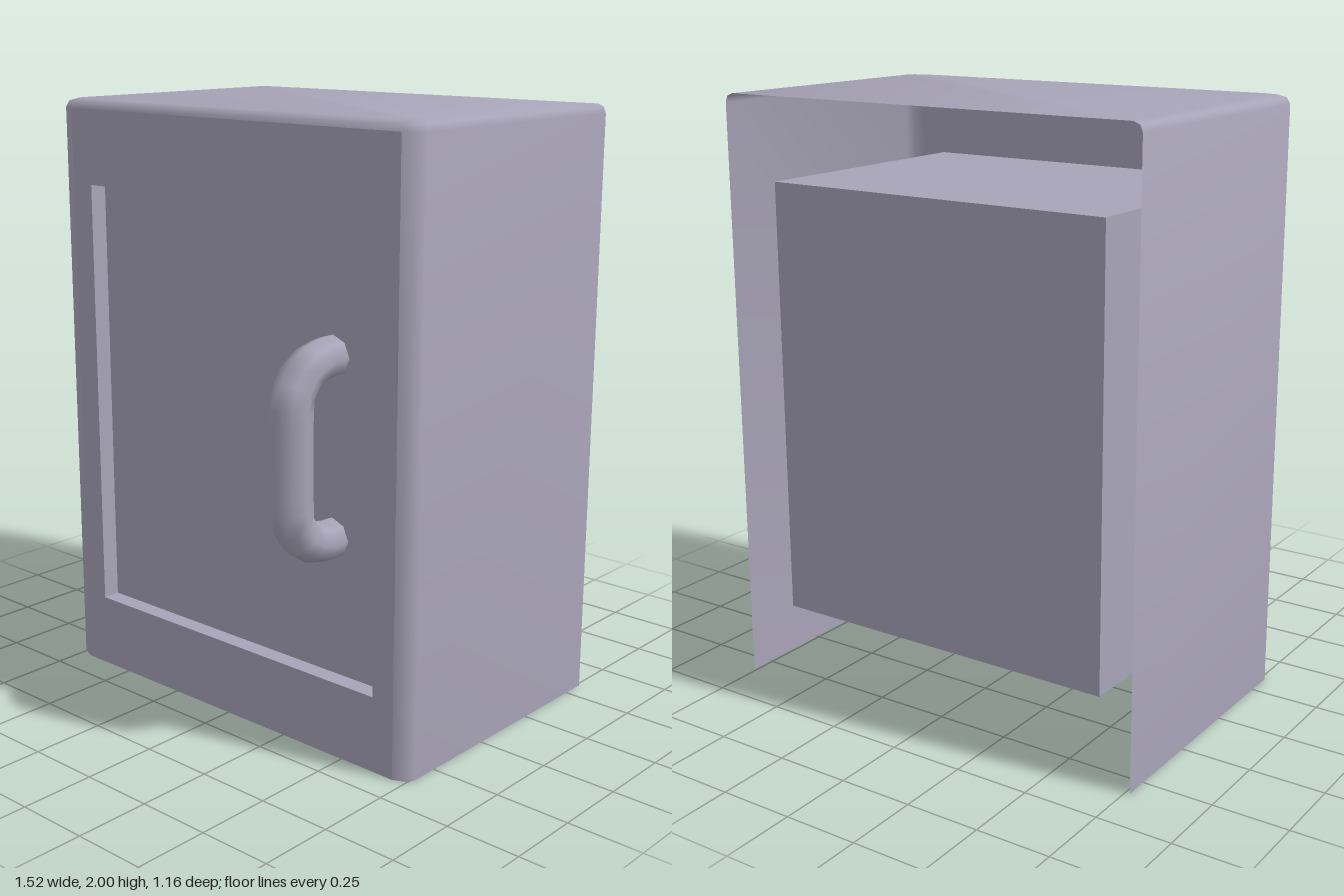
import * as THREE from 'three';
import { toCreasedNormals } from 'three/addons/utils/BufferGeometryUtils.js';

// Surface through equal-length rings of [x, y, z]; skip(row, col) leaves a quad out, cap fans the last ring.
function loft(rings, { skip = () => false, cap = false } = {}) {
  const n = rings[0].length;
  const index = [];
  for (let r = 0; r < rings.length - 1; r++) {
    for (let i = 0; i < n - 1; i++) {
      if (skip(r, i)) continue;
      const a = r * n + i, b = a + 1, c = a + n, d = b + n;
      index.push(a, b, d, a, d, c);
    }
  }
  if (cap) {
    const o = (rings.length - 1) * n;
    for (let i = 1; i < n - 1; i++) index.push(o, o + i, o + i + 1);
  }
  const geo = new THREE.BufferGeometry();
  geo.setAttribute('position', new THREE.Float32BufferAttribute(rings.flat(2), 3));
  geo.setIndex(index);
  return toCreasedNormals(geo, Math.PI / 3);
}

export function createModel() {
  const model = new THREE.Group();
  model.name = 'cabinet';
  const paint = new THREE.MeshStandardMaterial({ color: 0xa8a4b8, side: THREE.DoubleSide });
  paint.name = 'greyLilacPaint';

  const add = (name, geo) => {
    const mesh = new THREE.Mesh(geo, paint);
    mesh.name = name;
    model.add(mesh);
    return mesh;
  };

  const back = -0.58, front = 0.39;
  const hole = { l: -0.615, r: 0.625, b: 0.25, t: 1.72 };

  // Thin casing, open at the back and below, with rounded front and top edges
  const outline = [
    [-0.765, back], [-0.765, 0.345], [-0.752, 0.372], [-0.705, front],
    [0.705, front], [0.747, 0.372], [0.76, 0.345], [0.76, back],
  ];
  const ring = (y, inset) => outline.map(([x, z]) => [
    x - Math.sign(x) * inset, y, z === back ? z : z - inset,
  ]);
  add('casing', loft(
    [ring(0, 0), ring(1.97, 0), ring(1.991, 0.008), ring(2, 0.03)],
    { skip: (row, col) => row === 0 && col === 3, cap: true },
  ));

  // Flat front wall with the door opening
  const wall = new THREE.Shape([
    [-0.705, 0], [0.705, 0], [0.705, 1.97], [-0.705, 1.97],
  ].map(p => new THREE.Vector2(...p)));
  wall.holes.push(new THREE.Path([
    [hole.l, hole.b], [hole.l, hole.t], [hole.r, hole.t], [hole.r, hole.b],
  ].map(p => new THREE.Vector2(...p))));
  add('frontWall', new THREE.ShapeGeometry(wall)).position.z = front;

  // Walls of the recess around the door
  const doorFront = 0.33;
  const rim = z => [
    [hole.l, hole.b, z], [hole.r, hole.b, z], [hole.r, hole.t, z], [hole.l, hole.t, z], [hole.l, hole.b, z],
  ];
  add('doorRecess', loft([rim(doorFront), rim(front)]));

  // Inner box whose front is the door
  const boxBack = -0.515;
  add('innerBox', new THREE.BoxGeometry(hole.r - hole.l, hole.t - hole.b, doorFront - boxBack))
    .position.set((hole.l + hole.r) / 2, (hole.b + hole.t) / 2, (doorFront + boxBack) / 2);

  // Bow handle, mirrored about its middle height
  const half = [[0.29, 0.33], [0.29, 0.39], [0.265, 0.468], [0.2, 0.51], [0.12, 0.516]];
  const path = new THREE.CurvePath();
  const spine = [
    ...half.map(([y, z]) => new THREE.Vector3(0, y, z)),
    ...half.map(([y, z]) => new THREE.Vector3(0, -y, z)).reverse(),
  ];
  for (let i = 0; i < spine.length - 1; i++) path.add(new THREE.LineCurve3(spine[i], spine[i + 1]));
  add('handle', new THREE.TubeGeometry(path, 16, 0.066, 8)).position.set(0.405, 0.99, 0);

  return model;
}
